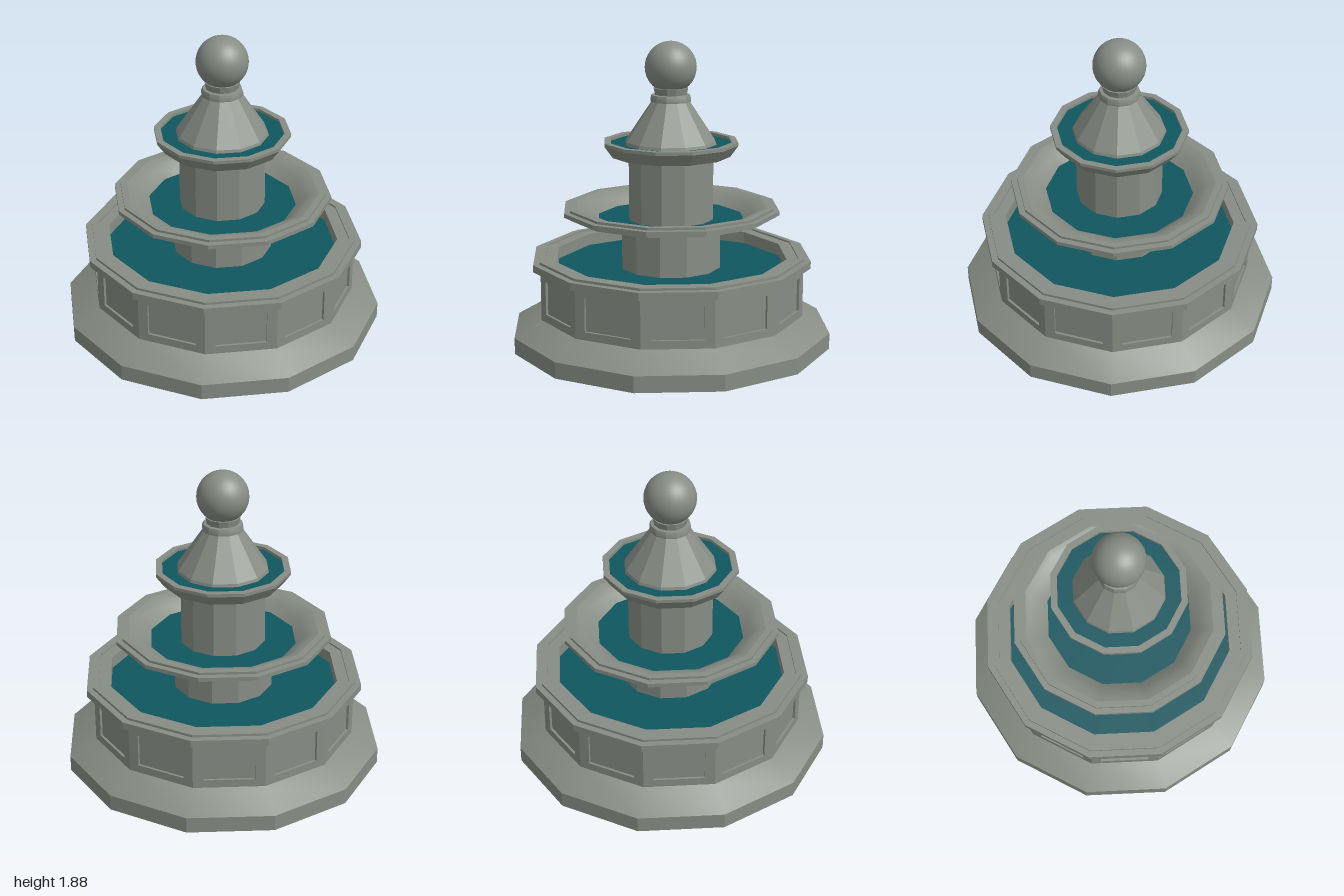
import * as THREE from 'three';
import { toCreasedNormals } from 'three/addons/utils/BufferGeometryUtils.js';

const SIDES = 12;

export function createModel() {
  const stone = new THREE.MeshStandardMaterial({ color: 0x878d85, side: THREE.DoubleSide });
  stone.name = 'grey stone';
  const water = new THREE.MeshStandardMaterial({ color: 0x10565f, side: THREE.DoubleSide });
  water.name = 'teal water';

  const model = new THREE.Group();
  model.name = 'tieredFountain';

  const add = (name, geometry, material, parent = model) => {
    const mesh = new THREE.Mesh(geometry, material);
    mesh.name = name;
    parent.add(mesh);
    return mesh;
  };

  // Twelve-sided turned part from [radius, height] pairs; crease 0.3 rad keeps facets flat
  const turned = (name, profile, crease = 0.3) => {
    const points = profile.map(([r, y]) => new THREE.Vector2(r, y));
    return add(name, toCreasedNormals(new THREE.LatheGeometry(points, SIDES), crease), stone);
  };

  const pool = (name, inner, outer, y) => {
    const ring = new THREE.RingGeometry(inner, outer, SIDES).rotateX(-Math.PI / 2);
    add(name, ring, water).position.y = y;
  };

  // Sloping plinth, open underneath
  turned('plinth', [[1, 0], [1, 0.1], [0.83, 0.2]]);

  // Basin wall: twelve slabs, each with a sunken rectangular panel
  const wallR = 0.83, bottom = 0.2, top = 0.505, depth = 0.015;
  const half = wallR * Math.sin(Math.PI / SIDES);
  const apothem = wallR * Math.cos(Math.PI / SIDES);
  const rect = (target, x, y0, y1) =>
    target.moveTo(-x, y0).lineTo(x, y0).lineTo(x, y1).lineTo(-x, y1).closePath();
  const slab = rect(new THREE.Shape(), half, bottom, top);
  slab.holes.push(rect(new THREE.Path(), 0.153, 0.25, 0.455));
  const slabGeo = new THREE.ExtrudeGeometry(slab, { depth, bevelEnabled: false });
  const panelGeo = new THREE.PlaneGeometry(0.306, 0.205);
  const wall = new THREE.Group();
  wall.name = 'basinWall';
  model.add(wall);
  for (let i = 0; i < SIDES; i++) {
    const side = new THREE.Group();
    side.name = 'wallSide';
    side.rotation.y = ((i + 0.5) / SIDES) * Math.PI * 2;
    wall.add(side);
    add('wallFrame', slabGeo, stone, side).position.z = apothem - depth;
    add('sunkenPanel', panelGeo, stone, side).position.set(0, 0.3525, apothem - depth);
  }

  // Stepped basin rim running down to the water
  turned('basinRim', [
    [0.83, 0.505], [0.875, 0.505], [0.875, 0.55], [0.835, 0.55], [0.835, 0.565],
    [0.8, 0.565], [0.8, 0.555], [0.725, 0.555], [0.725, 0.48],
  ]);
  pool('basinWater', 0.312, 0.725, 0.48);

  // Pedestal and middle bowl
  turned('pedestal', [[0.312, 0.48], [0.312, 0.755]]);
  turned('middleBowlOutside', [
    [0.312, 0.755], [0.64, 0.81], [0.64, 0.83], [0.677, 0.83], [0.677, 0.855],
    [0.64, 0.855], [0.64, 0.87], [0.6, 0.87],
  ]);
  turned('middleBowlInside', [[0.6, 0.87], [0.56, 0.86], [0.51, 0.83], [0.46, 0.785]], 0.6);
  pool('middleWater', 0.266, 0.46, 0.785);

  // Column and top bowl
  turned('column', [[0.266, 0.785], [0.266, 1.18]]);
  turned('topBowl', [
    [0.266, 1.18], [0.37, 1.18], [0.42, 1.25], [0.42, 1.27], [0.38, 1.27], [0.38, 1.25],
  ]);
  pool('topWater', 0.28, 0.38, 1.252);

  // Cone, collar and ball finial
  turned('cone', [[0.285, 1.252], [0.28, 1.27], [0.118, 1.512]]);
  turned('collar', [
    [0.118, 1.512], [0.127, 1.512], [0.127, 1.53], [0.12, 1.552], [0.1, 1.555],
    [0.108, 1.595], [0.08, 1.6],
  ]);
  add('ballFinial', new THREE.SphereGeometry(0.158, 32, 20), stone).position.y = 1.72;

  return model;
}
